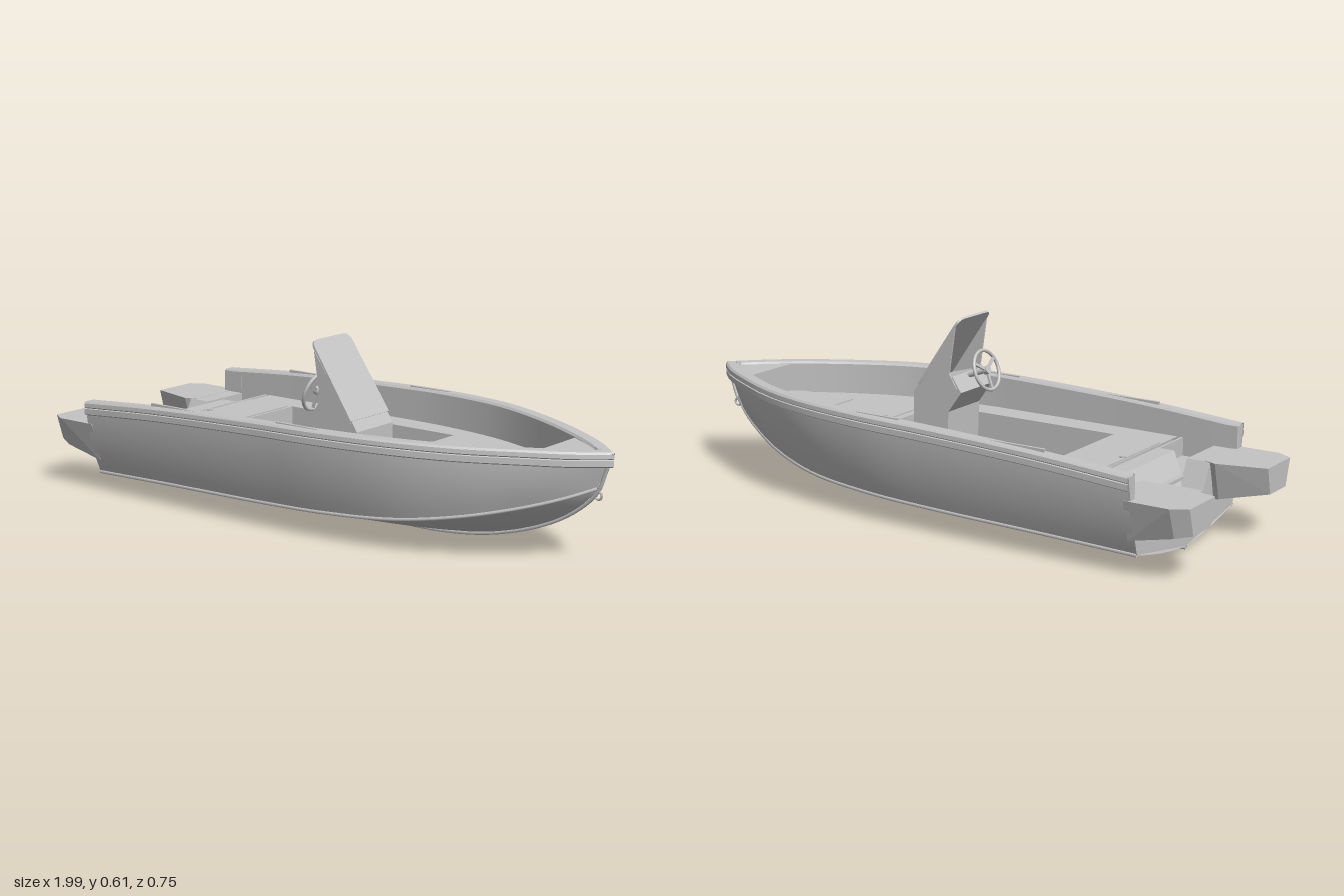
import * as THREE from 'three';
import { mergeGeometries } from 'three/addons/utils/BufferGeometryUtils.js';

const grey = new THREE.MeshStandardMaterial({ color: 0xc4c4c4, side: THREE.DoubleSide });
grey.name = 'grey gelcoat';

// Hull stations: sheer x y z, chine x y z, keel x y
const stations = [
  [-0.82, 0.315, 0.365, -0.82, 0.065, 0.305, -0.82, 0.01],
  [-0.5, 0.338, 0.368, -0.5, 0.075, 0.31, -0.5, 0.01],
  [-0.1, 0.354, 0.368, -0.1, 0.083, 0.31, -0.1, 0.01],
  [0.15, 0.359, 0.363, 0.15, 0.09, 0.30, 0.15, 0.01],
  [0.4, 0.36, 0.325, 0.4, 0.105, 0.265, 0.38, 0.012],
  [0.6, 0.357, 0.254, 0.6, 0.135, 0.2, 0.56, 0.035],
  [0.78, 0.355, 0.158, 0.77, 0.175, 0.115, 0.73, 0.085],
  [0.9, 0.352, 0.08, 0.87, 0.207, 0.055, 0.85, 0.145],
  [0.99, 0.35, 0, 0.94, 0.235, 0, 0.94, 0.225],
];
const V = (x, y, z) => new THREE.Vector3(x, y, z);
const curve = (pick) => new THREE.CatmullRomCurve3(stations.map(pick));
const sheer = curve((s) => V(s[0], s[1], s[2]));
const chine = curve((s) => V(s[3], s[4], s[5]));
const keel = curve((s) => V(s[6], s[7], 0));

// Point on the gunwale, offset outward by d in plan and up by dy
function rim(u, d, dy) {
  const p = sheer.getPoint(u), t = sheer.getTangent(u);
  const n = V(-t.z, 0, t.x).normalize();
  p.addScaledVector(n, d);
  p.y += dy;
  p.z = u === 1 ? 0 : Math.max(0, p.z);
  return p;
}

// Grid surface through f(u, v); side = -1 mirrors it across the centreline
function surface(f, nu, nv, side) {
  const pos = [], index = [];
  for (let i = 0; i <= nu; i++) for (let j = 0; j <= nv; j++) {
    const p = f(i / nu, j / nv);
    pos.push(p.x, p.y, p.z * side);
    if (i === nu || j === nv) continue;
    const a = i * (nv + 1) + j, b = a + nv + 1;
    if (side > 0) index.push(a, b, b + 1, a, b + 1, a + 1);
    else index.push(a, b + 1, b, a, a + 1, b + 1);
  }
  const g = new THREE.BufferGeometry();
  g.setAttribute('position', new THREE.Float32BufferAttribute(pos, 3));
  g.setIndex(index);
  g.computeVertexNormals();
  return g;
}
const bothSides = (f, nu, nv) => mergeGeometries([surface(f, nu, nv, 1), surface(f, nu, nv, -1)]);
const polygon = (pts) => new THREE.Shape(pts.map(([x, y]) => new THREE.Vector2(x, y)));
const extrude = (shape, depth) =>
  new THREE.ExtrudeGeometry(shape, { depth, bevelEnabled: false, curveSegments: 6 });

export function createModel() {
  const model = new THREE.Group();
  model.name = 'motorboat';
  const add = (name, geometry, x = 0, y = 0, z = 0, parent = model) => {
    const m = new THREE.Mesh(geometry, grey);
    m.name = name;
    m.position.set(x, y, z);
    parent.add(m);
    return m;
  };
  // Box given by its minimum and maximum corners
  const box = (name, x0, x1, y0, y1, z0, z1) => add(name,
    new THREE.BoxGeometry(x1 - x0, y1 - y0, z1 - z0), (x0 + x1) / 2, (y0 + y1) / 2, (z0 + z1) / 2);

  // Hull skin
  add('hullSides', bothSides((u, v) => {
    const p = chine.getPoint(u).lerp(sheer.getPoint(u), v);
    p.z += 0.05 * v * (1 - v) * Math.min(1, 4 * (1 - u));
    return p;
  }, 64, 8));
  add('hullBottom', bothSides((u, v) => {
    const p = keel.getPoint(u).lerp(chine.getPoint(u), v);
    p.y -= 0.03 * v * (1 - v) * Math.min(1, 4 * (1 - u));
    return p;
  }, 64, 6));

  // Keel strip, stem and chine rails
  const keelPoints = stations.map((s) => V(s[6], s[7] - 0.004, 0));
  keelPoints.push(V(0.968, 0.29, 0), V(0.99, 0.35, 0));
  add('keelStrip', new THREE.TubeGeometry(new THREE.CatmullRomCurve3(keelPoints), 80, 0.006, 6));
  for (const side of [1, -1]) {
    const path = new THREE.CatmullRomCurve3(stations.map((s) => V(s[3], s[4], s[5] * side)));
    add('chineRail', new THREE.TubeGeometry(path, 64, 0.006, 6));
  }
  add('bowEye', new THREE.TorusGeometry(0.012, 0.004, 6, 14), 0.945, 0.215, 0);

  // Gunwale: one crisp strip per profile edge
  const profile = [[-0.003, -0.045], [0.006, -0.04], [0.006, -0.022], [0.002, -0.02],
    [0.007, -0.016], [0.006, -0.003], [0, 0.003], [-0.034, 0.003], [-0.04, -0.004]];
  const strips = [];
  for (let i = 0; i + 1 < profile.length; i++) {
    const [a, b] = [profile[i], profile[i + 1]];
    strips.push(bothSides((u, v) => rim(u, a[0] + (b[0] - a[0]) * v, a[1] + (b[1] - a[1]) * v), 64, 1));
  }
  add('gunwale', mergeGeometries(strips));
  add('innerLiner', bothSides((u, v) => {
    const p = rim(u, -0.04, -0.004);
    const low = p.x < -0.6 ? 0.18 : p.x > 0.8 ? 0.33 : 0.25;
    p.y += (low - p.y) * (1 - v);
    return p;
  }, 64, 1));

  // Flat decks follow the inside of the gunwale
  const deckShape = (x0, x1) => {
    const half = [];
    for (let i = 0; i <= 120; i++) {
      const p = rim(i / 120, -0.038, 0);
      if (p.x >= x0 && p.x <= x1) half.push([p.x, p.z]);
    }
    return polygon([...half, ...half.slice().reverse().map(([x, z]) => [x, -z])]);
  };
  const deck = deckShape(-0.63, 0.82);
  deck.holes.push(polygon([[-0.43, -0.24], [-0.43, 0.24], [0.255, 0.24], [0.255, -0.24]]));
  add('mainDeck', new THREE.ShapeGeometry(deck).rotateX(-Math.PI / 2), 0, 0.25, 0);
  add('bowDeck', new THREE.ShapeGeometry(deckShape(0.79, 1)).rotateX(-Math.PI / 2), 0, 0.348, 0);
  box('bowStep', 0.797, 0.803, 0.25, 0.348, -0.115, 0.115);

  // Sunken cockpit
  box('cockpitFloor', -0.43, 0.255, 0.12, 0.13, -0.24, 0.24);
  box('cockpitAftWall', -0.436, -0.43, 0.12, 0.249, -0.24, 0.24);
  box('cockpitFrontWall', 0.255, 0.261, 0.12, 0.249, -0.24, 0.24);
  box('cockpitSideWall', -0.43, 0.255, 0.12, 0.249, 0.24, 0.246);
  box('cockpitSideWall', -0.43, 0.255, 0.12, 0.249, -0.246, -0.24);

  // Hatches and their latches
  box('frontHatch', 0.28, 0.455, 0.249, 0.254, -0.18, 0.18);
  box('bowHatch', 0.54, 0.795, 0.249, 0.254, -0.13, 0.13);
  box('aftHatch', -0.605, -0.435, 0.249, 0.254, -0.22, 0.22);
  for (const x of [0.31, 0.6, -0.595])
    add('latch', new THREE.CylinderGeometry(0.01, 0.01, 0.006, 12), x, 0.256, 0);
  add('bowFitting', new THREE.CylinderGeometry(0.008, 0.01, 0.012, 10), 0.94, 0.354, 0);
  for (const side of [1, -1]) {
    box('gunwaleTrack', -0.53, -0.33, 0.339, 0.349, side * 0.347 - 0.005, side * 0.347 + 0.005);
    box('gunwaleTrack', 0.0, 0.16, 0.356, 0.364, side * 0.345 - 0.005, side * 0.345 + 0.005);
  }

  // Transom block with the engine well cut out
  const edge = [[0.304, 0.066], [0.338, 0.18], [0.363, 0.312], [0.325, 0.314], [0.325, 0.24], [0.145, 0.24], [0.105, 0.16]];
  const transom = polygon([[0, 0.011], ...edge, ...edge.slice().reverse().map(([z, y]) => [-z, y])]);
  add('transom', extrude(transom, 0.08).rotateY(-Math.PI / 2), -0.74, 0, 0);
  box('sternRecessFloor', -0.745, -0.62, 0.18, 0.19, -0.33, 0.33);
  box('sternBulkhead', -0.63, -0.622, 0.18, 0.25, -0.33, 0.33);
  const coaming = new THREE.BoxGeometry(0.12, 0.09, 0.33);
  const cp = coaming.attributes.position;
  for (let i = 0; i < cp.count; i++) {
    if (cp.getX(i) < 0 && cp.getY(i) > 0) cp.setX(i, 0);
    if (cp.getX(i) < 0.01 && cp.getY(i) < 0) cp.setZ(i, cp.getZ(i) * 0.75);
  }
  coaming.computeVertexNormals();
  add('wellCoaming', coaming, -0.685, 0.207, 0);

  // Stern pods: chamfered plan, tapering underneath
  const podPlan = polygon([[-0.8, 0.15], [-0.84, 0.135], [-1, 0.175], [-1, 0.33], [-0.95, 0.36], [-0.8, 0.36]]);
  for (const side of [1, -1]) {
    const pod = extrude(podPlan, 1).rotateX(Math.PI / 2);
    const p = pod.attributes.position;
    for (let i = 0; i < p.count; i++) {
      const low = p.getY(i) < -0.5, x = p.getX(i);
      if (low) p.setZ(i, 0.245 + (p.getZ(i) - 0.245) * 0.7);
      p.setY(i, low ? 0.155 - 0.22 * (x + 1) : 0.241);
    }
    if (side < 0) pod.rotateX(Math.PI).translate(0, 0.241, 0);
    if (side < 0) {
      // Turned over, so set the heights upright again and restore the winding
      for (let i = 0; i < p.count; i++) p.setY(i, 0.241 - p.getY(i));
      for (let i = 0; i < p.count; i += 3) {
        const a = V().fromBufferAttribute(p, i + 1), b = V().fromBufferAttribute(p, i + 2);
        p.setXYZ(i + 1, b.x, b.y, b.z);
        p.setXYZ(i + 2, a.x, a.y, a.z);
      }
    }
    pod.computeVertexNormals();
    add('sternPod', pod);
  }

  // Helm console
  const zc = 0.1375;
  const body = polygon([[0.09, 0.13], [0.225, 0.13], [0.222, 0.34], [0.2, 0.375], [0.07, 0.41], [0.035, 0.36], [0.085, 0.29]]);
  add('console', extrude(body, 0.18), 0, 0, zc - 0.09);

  // Windscreen: sloped front panel and side wings
  const w = 0.096, h = 0.282, r = 0.03;
  const panel = new THREE.Shape();
  panel.moveTo(-w, 0).lineTo(w, 0).lineTo(w - 0.004, h - r);
  panel.quadraticCurveTo(w - 0.004, h, w - 0.004 - r, h).lineTo(-w + 0.004 + r, h);
  panel.quadraticCurveTo(-w + 0.004, h, -w + 0.004, h - r).lineTo(-w, 0);
  add('windscreen', extrude(panel, 0.008).rotateY(Math.PI / 2).rotateZ(Math.atan2(0.16, 0.235)), 0.197, 0.368, zc);
  const wing = polygon([[0.2, 0.365], [0.056, 0.578], [0.08, 0.42], [0.05, 0.37]]);
  for (const side of [1, -1])
    add('windscreenWing', extrude(wing, 0.006), 0, 0, zc + side * 0.091 - 0.003);

  // Steering wheel
  const wheel = new THREE.Group();
  wheel.name = 'steeringWheel';
  wheel.position.set(-0.005, 0.425, zc);
  wheel.rotation.z = -0.35;
  model.add(wheel);
  add('wheelRim', new THREE.TorusGeometry(0.066, 0.006, 8, 32).rotateY(Math.PI / 2), 0, 0, 0, wheel);
  add('wheelHub', new THREE.CylinderGeometry(0.014, 0.014, 0.016, 14).rotateZ(Math.PI / 2), 0, 0, 0, wheel);
  add('wheelColumn', new THREE.CylinderGeometry(0.009, 0.009, 0.08, 10).rotateZ(Math.PI / 2), 0.04, 0, 0, wheel);
  for (let i = 0; i < 3; i++) {
    const spoke = new THREE.BoxGeometry(0.006, 0.064, 0.01).translate(0, 0.032, 0);
    add('wheelSpoke', spoke.rotateX(Math.PI + (i * Math.PI * 2) / 3), 0, 0, 0, wheel);
  }
  return model;
}
